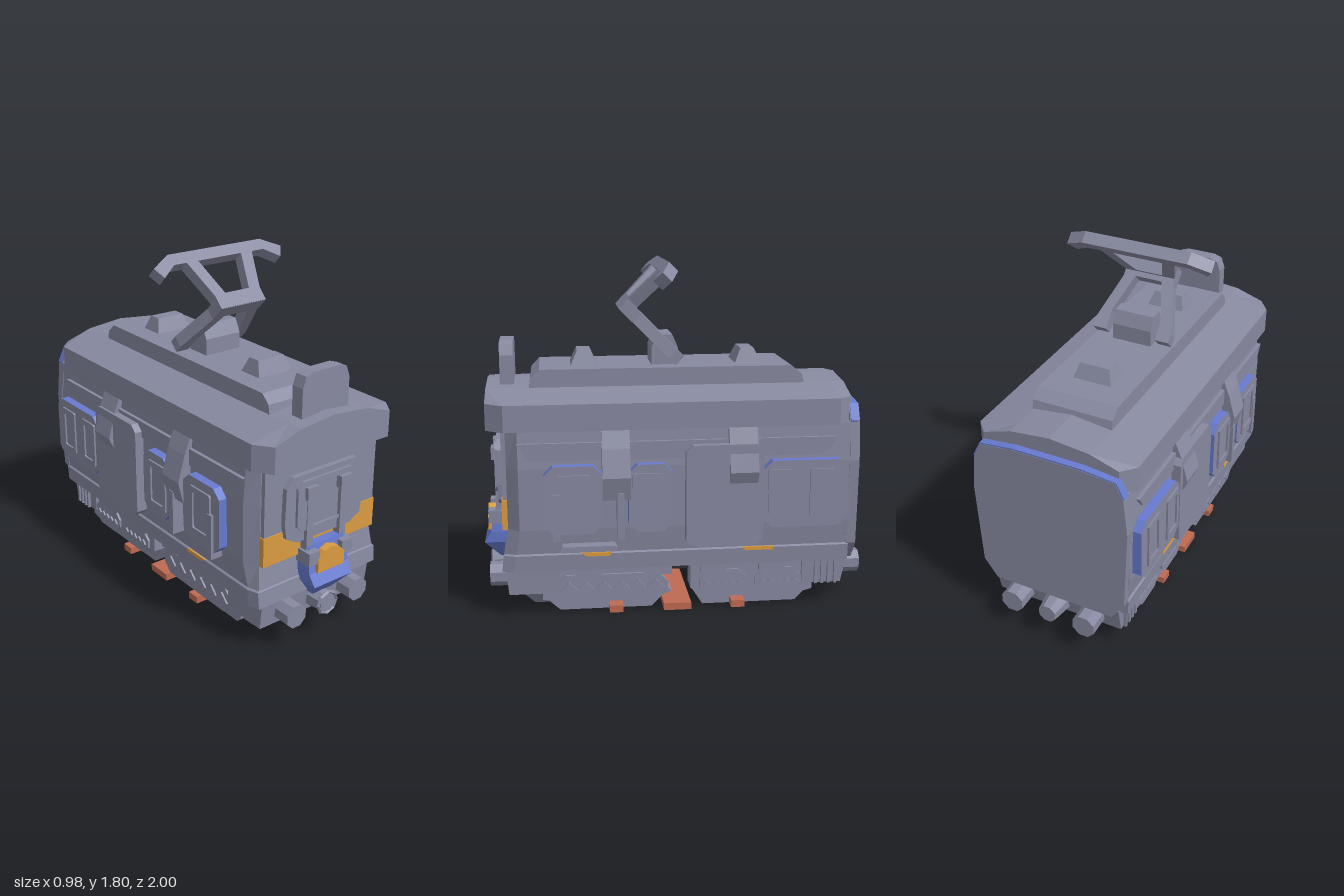
import * as THREE from 'three';

const mat = (name, color) => Object.assign(new THREE.MeshStandardMaterial({ color, flatShading: true }), { name });

export function createModel() {
  const grey = mat('slate grey', 0x8789a0);
  const blue = mat('trim blue', 0x667ace);
  const orange = mat('band orange', 0xdb9c42);
  const brown = mat('sleeper brown', 0xbe6a52);
  const dark = mat('underside dark', 0x4c4c52);
  const model = new THREE.Group();
  model.name = 'tram';

  const add = (name, geo, material = grey) => {
    const m = new THREE.Mesh(geo, material);
    m.name = name;
    model.add(m);
    return m;
  };
  const box = (name, x0, x1, y0, y1, z0, z1, material) =>
    add(name, new THREE.BoxGeometry(x1 - x0, y1 - y0, z1 - z0)
      .translate((x0 + x1) / 2, (y0 + y1) / 2, (z0 + z1) / 2), material);

  // Skin between matching rings (counter-clockwise seen from the last ring), with capped ends
  const loft = (name, rings, material) => {
    const p = [], n = rings[0].length;
    const tri = (...v) => v.forEach(q => p.push(...q));
    for (let r = 0; r < rings.length - 1; r++) {
      for (let i = 0; i < n; i++) {
        const j = (i + 1) % n, a = rings[r], b = rings[r + 1];
        tri(a[i], a[j], b[j]);
        tri(a[i], b[j], b[i]);
      }
    }
    const last = rings[rings.length - 1];
    for (let i = 1; i < n - 1; i++) {
      tri(last[0], last[i], last[i + 1]);
      tri(rings[0][0], rings[0][i + 1], rings[0][i]);
    }
    const g = new THREE.BufferGeometry();
    g.setAttribute('position', new THREE.Float32BufferAttribute(p, 3));
    g.computeVertexNormals();
    return add(name, g, material);
  };
  const rect = (y, w, z0, z1) => [[-w, y, z1], [w, y, z1], [w, y, z0], [-w, y, z0]];
  const poly = pts => new THREE.Shape(pts.map(q => new THREE.Vector2(...q)));
  const extrude = (shape, depth) => new THREE.ExtrudeGeometry(shape, { depth, bevelEnabled: false });
  // Rectangle outline with cut corners
  const cut = (x0, x1, y0, y1, c) => [[x0 + c, y0], [x1 - c, y0], [x1, y0 + c], [x1, y1 - c],
    [x1 - c, y1], [x0 + c, y1], [x0, y1 - c], [x0, y0 + c]];
  // Plate on one flank (s = +1 left, -1 right) from a z,y outline
  const plate = (name, s, pts, x0, x1, material, hole) => {
    const flip = q => q.map(([z, y]) => [-s * z, y]);
    const shape = poly(flip(pts));
    if (hole) shape.holes.push(poly(flip(hole)));
    const m = add(name, extrude(shape, x1 - x0), material);
    m.rotation.y = s * Math.PI / 2;
    m.position.x = s * x0;
    return m;
  };

  // Body shell with chamfered front corners and flared skirt
  const plan = (y, w, f, zf) => [[-f, y, zf], [f, y, zf], [w, y, zf - 0.06], [w, y, -0.89], [-w, y, -0.89], [-w, y, zf - 0.06]];
  loft('body', [plan(0.26, 0.4, 0.385, 0.9), plan(0.345, 0.405, 0.385, 0.89), plan(0.352, 0.395, 0.375, 0.885),
    plan(0.48, 0.41, 0.36, 0.865), plan(0.8, 0.415, 0.36, 0.865), plan(1, 0.4, 0.36, 0.865)]);
  box('frontFace', -0.355, 0.355, 0.47, 1, 0.85, 0.888);
  box('frontBand', -0.36, 0.36, 0.475, 0.63, 0.86, 0.893, orange);

  // Flat rear wall with a coloured top edge
  const rear = [[-0.33, 0.25], [0.33, 0.25], [0.4, 0.35], [0.42, 0.8], [0.4, 1.0], [0.36, 1.08],
    [0.18, 1.1], [-0.18, 1.1], [-0.36, 1.08], [-0.4, 1], [-0.42, 0.8], [-0.4, 0.35]];
  add('rearWall', extrude(poly(rear), 0.05)).position.z = -0.93;
  const rim = [[0.4, 1], [0.36, 1.08], [0.18, 1.1], [-0.18, 1.1], [-0.36, 1.08], [-0.4, 1],
    [-0.405, 1.005], [-0.364, 1.087], [-0.18, 1.108], [0.18, 1.108], [0.364, 1.087], [0.405, 1.005]];
  add('rearWallRim', extrude(poly(rim), 0.045), blue).position.z = -0.928;

  // Arched roof
  const arch = (w, z) => [[-w, 0.99, z], [w, 0.99, z], [w, 1.125, z], [0.21, 1.175, z], [0, 1.197, z], [-0.21, 1.175, z], [-w, 1.125, z]];
  loft('roof', [arch(0.36, -0.89), arch(0.425, -0.82), arch(0.425, 0.87), arch(0.36, 0.96)]);
  loft('roofPlatform', [rect(1.16, 0.215, -0.68, 0.745), rect(1.22, 0.215, -0.665, 0.735), rect(1.265, 0.215, -0.61, 0.69)]);
  for (const z of [0.46, -0.4])
    loft('roofVent', [rect(1.26, 0.105, z - 0.07, z + 0.07), rect(1.34, 0.08, z - 0.035, z + 0.035)]);
  add('roofBoard', extrude(poly([[-0.145, 1.16], [0.145, 1.16], [0.145, 1.33], [0.125, 1.385],
    [0.08, 1.4], [-0.08, 1.4], [-0.125, 1.385], [-0.145, 1.33]]), 0.07)).position.z = 0.82;

  // Pantograph: base, folded lower arms and upper bow
  loft('pantographBase', [rect(1.26, 0.108, -0.03, 0.11), rect(1.35, 0.108, -0.03, 0.11), rect(1.42, 0.108, 0, 0.075)]);
  const lower = poly([[-0.14, 0.03], [0.14, 0.03], [0.14, -0.07], [0.215, -0.32], [0.215, -0.37], [0.14, -0.37],
    [0.14, -0.27], [0.075, -0.06], [-0.075, -0.06], [-0.14, -0.27], [-0.14, -0.37], [-0.215, -0.37], [-0.215, -0.32], [-0.14, -0.07]]);
  const upper = poly([[-0.14, -0.03], [0.14, -0.03], [0.14, 0.04], [0.205, 0.25], [0.28, 0.25], [0.365, 0.19],
    [0.4, 0.25], [0.29, 0.312], [-0.29, 0.312], [-0.4, 0.25], [-0.365, 0.19], [-0.28, 0.25], [-0.205, 0.25], [-0.14, 0.04]]);
  upper.holes.push(poly([[-0.075, 0.05], [0.075, 0.05], [0.135, 0.25], [-0.135, 0.25]]));
  for (const [name, shape, a] of [['pantographArms', lower, 1], ['pantographBow', upper, -1]]) {
    const m = add(name, extrude(shape, 0.064).translate(0, 0, -0.032));
    m.rotation.x = a * Math.PI / 4;
    m.position.set(0, 1.56, 0.235);
  }

  // Cab front: window panel, frame, mullions and blocks
  const panel = poly([[-0.17, 0.56], [0.17, 0.56], [0.24, 0.6], [0.25, 0.68], [0.245, 0.86], [0.2, 0.91],
    [-0.2, 0.91], [-0.245, 0.86], [-0.25, 0.68], [-0.24, 0.6]]);
  add('cabPanel', extrude(panel, 0.035)).position.z = 0.88;
  const frame = poly(cut(-0.185, 0.185, 0.62, 0.88, 0.03));
  frame.holes.push(poly(cut(-0.09, 0.09, 0.63, 0.85, 0.01)));
  add('cabWindowFrame', extrude(frame, 0.02)).position.z = 0.91;
  for (const s of [-1, 1]) {
    const x = s * 0.107;
    box('cabMullion', x - 0.02, x + 0.02, 0.5, 0.8, 0.89, 0.935);
    box('cabUpperBlock', x - 0.034, x + 0.034, 0.785, 0.85, 0.91, 0.95);
    box('cabLowerBlock', x - 0.034, x + 0.034, 0.44, 0.51, 0.88, 0.975);
  }

  // Nose with lamp
  loft('nose', [rect(0.235, 0.06, 0.86, 0.92), rect(0.33, 0.122, 0.86, 1), rect(0.39, 0.128, 0.86, 0.965),
    rect(0.53, 0.115, 0.86, 0.935)], blue);
  const lamp = add('lamp', extrude(poly([[-0.085, 0.39], [0.085, 0.39], [0.085, 0.46], [0.045, 0.5], [0, 0.513], [-0.045, 0.5], [-0.085, 0.46]]), 0.05), orange);
  lamp.position.z = 0.93;

  // Flanks
  for (const s of [-1, 1]) {
    for (const [z0, z1, holes] of [[0.39, 0.68, [[0.465, 0.605]]], [0.035, 0.26, [[0.1, 0.23]]],
      [-0.86, -0.425, [[-0.57, -0.46], [-0.785, -0.675]]]]) {
      plate('windowSurround', s, cut(z0, z1, 0.47, 0.82, 0.045), 0.39, 0.46, [grey, blue]);
      for (const [a, b] of holes)
        plate('windowFrame', s, cut(a - 0.012, b + 0.012, 0.52, 0.775, 0.008), 0.455, 0.47, grey, cut(a + 0.012, b - 0.012, 0.55, 0.745, 0.006));
    }
    plate('door', s, cut(-0.425, -0.03, 0.38, 0.91, 0.035), 0.39, 0.465);
    plate('rainLedge', s, [[0.81, 0.93], [0.76, 0.85], [0.7, 0.84], [-0.72, 0.84], [-0.77, 0.87], [-0.81, 0.93]], 0.39, 0.424);
    // Pillar clasps that bulge outward
    const clasp = (name, z0, z1, prof) => {
      const m = add(name, extrude(poly(prof.map(([x, y]) => [s * x, y])), z1 - z0));
      m.position.z = z0;
    };
    clasp('pillarClasp', 0.25, 0.39, [[0.38, 1], [0.41, 1], [0.45, 0.9], [0.49, 0.76], [0.46, 0.64], [0.38, 0.62]]);
    clasp('doorClasp', -0.395, -0.25, [[0.4, 0.99], [0.42, 0.99], [0.455, 0.9], [0.49, 0.77], [0.465, 0.71], [0.4, 0.71]]);
    for (const z of [0.3, 0.62])
      plate('grabHandle', s, [[z - 0.018, 0.44], [z + 0.018, 0.44], [z + 0.018, 0.68], [z - 0.018, 0.68]], 0.4, 0.475);
    // Skirt ledge markings
    for (const [z0, z1] of [[0.35, 0.5], [-0.49, -0.32]])
      plate('skirtMark', s, [[z0, 0.333], [z1 - 0.03, 0.333], [z1, 0.352], [z0, 0.352]], 0.4, 0.409, orange);

    // Bogies: running rail, side frame, studded pods
    const bogies = [
      [[0.7, 0.25], [0.7, 0.08], [0.61, 0], [0.13, 0], [0.03, 0.1], [0.18, 0.25]],
      [[-0.07, 0.25], [-0.07, 0.11], [-0.14, 0], [-0.64, 0], [-0.72, 0.08], [-0.72, 0.25]]];
    for (const b of bogies) {
      plate('bogieRail', s, b, 0.215, 0.285);
      plate('bogieFrame', s, b.map(([z, y]) => [z, Math.max(y, 0.06)]), 0.28, 0.335);
    }
    for (const [z0, z1, n] of [[0.05, 0.63, 6], [-0.37, -0.115, 5], [-0.665, -0.41, 5]]) {
      plate('bogiePod', s, cut(z0, z1, 0.065, 0.21, 0.05), 0.32, 0.348);
      const step = (z1 - z0 - 0.04) / n, h = Math.min(step * 0.56, 0.047);
      for (let i = 0; i < n; i++) {
        const z = z0 + 0.02 + (i + 0.5) * step;
        plate('stud', s, [[z - h, 0.13], [z, 0.13 - h], [z + h, 0.13], [z, 0.13 + h]], 0.34, 0.358);
      }
    }
    for (const z of [0.46, 0.1, -0.19, -0.5])
      plate('bogieHanger', s, [[z - 0.07, 0.2], [z + 0.07, 0.2], [z + 0.07, 0.265], [z - 0.07, 0.265]], 0.25, 0.352);
    for (let i = 0; i < 4; i++)
      box('endRib', s > 0 ? 0.33 : -0.37, s > 0 ? 0.37 : -0.33, 0.12, 0.26, -0.74 - i * 0.035, -0.725 - i * 0.035);
  }
  // Boarding step on the left flank
  plate('boardingStep', 1, cut(0.32, 0.605, 0.375, 0.405, 0.012), 0.39, 0.465);

  // Underframe ends, belly and buffers
  loft('frontUnderframe', [rect(0.12, 0.352, 0.62, 0.87), rect(0.265, 0.355, 0.62, 0.885)]);
  loft('rearUnderframe', [rect(0.12, 0.352, -0.87, -0.66), rect(0.265, 0.355, -0.9, -0.66)]);
  loft('frontApron', [rect(0.05, 0.29, 0.64, 0.74), rect(0.125, 0.34, 0.62, 0.8)]);
  loft('belly', [rect(0.14, 0.12, -0.66, 0.64), rect(0.18, 0.22, -0.66, 0.64), rect(0.262, 0.34, -0.66, 0.64)], dark);
  for (const e of [1, -1]) {
    for (const x of [-0.205, 0, 0.205]) {
      const r = x ? 0.064 : 0.05;
      const g = new THREE.CylinderGeometry(r, x ? 0.064 : 0.07, 0.13, 8).rotateY(Math.PI / 8);
      add(x ? 'buffer' : 'coupler', g.rotateX(e * Math.PI / 2)).position.set(x, 0.187, e > 0 ? 0.905 : -0.933);
    }
  }
  const ring = add('couplerRing', new THREE.TorusGeometry(0.06, 0.01, 4, 8));
  ring.position.set(0, 0.187, 0.965);

  // Sleepers
  for (const [z, h] of [[0.32, 0.035], [0, 0.072], [-0.32, 0.035]])
    box('sleeper', -0.355, 0.355, 0, 0.038, z - h, z + h, brown);

  return model;
}
